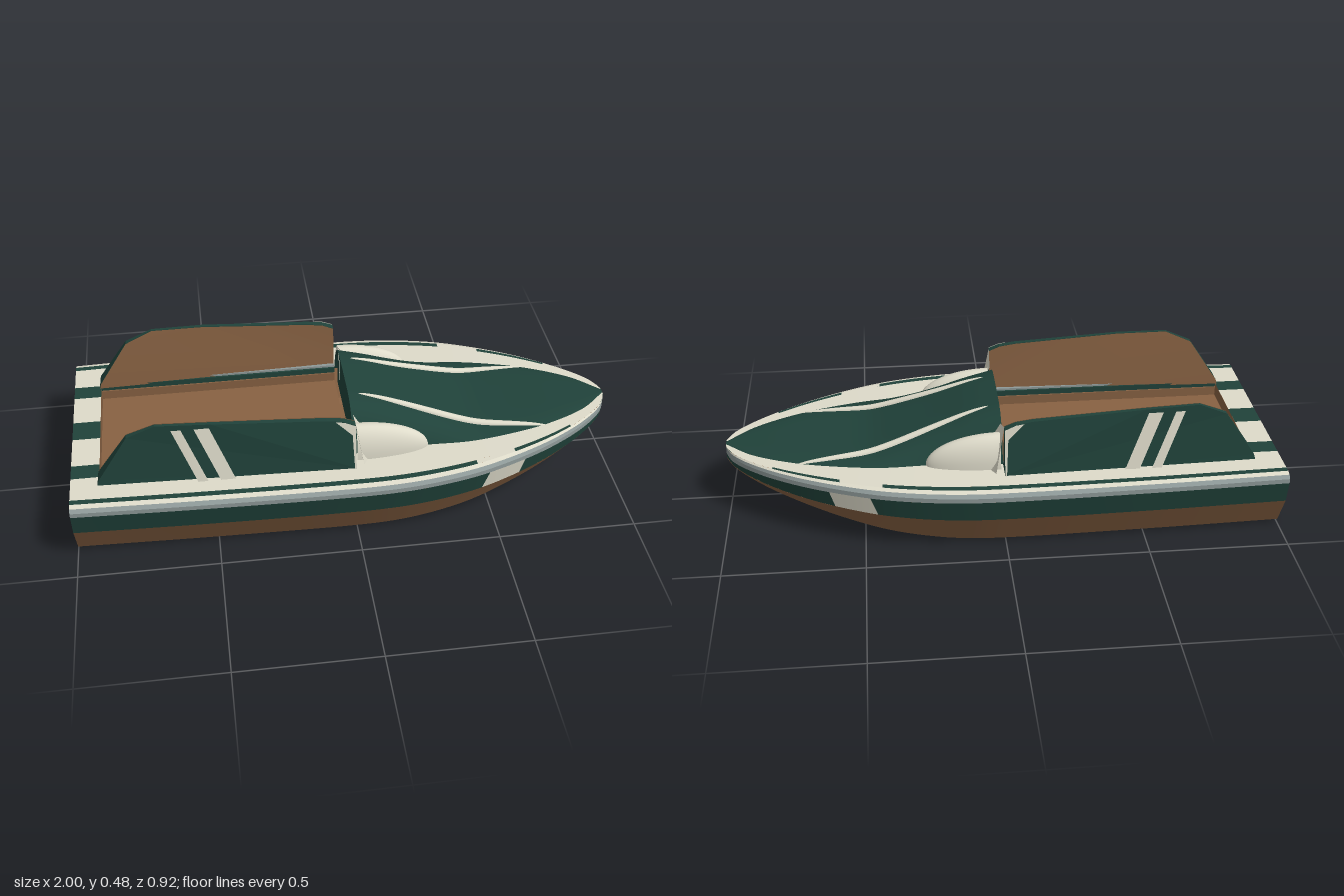
import * as THREE from 'three';

const paint = (name, color) => {
  const m = new THREE.MeshStandardMaterial({ color, side: THREE.DoubleSide });
  m.name = name;
  return m;
};

// Smooth curve y(x) through a few points (cubic Hermite)
function curve(...p) {
  const slope = i => {
    const a = p[Math.max(i - 1, 0)], b = p[Math.min(i + 1, p.length - 1)];
    return (b[1] - a[1]) / (b[0] - a[0]);
  };
  return x => {
    let i = 0;
    while (i < p.length - 2 && x > p[i + 1][0]) i++;
    const [x0, y0] = p[i], [x1, y1] = p[i + 1], d = x1 - x0;
    const t = Math.min(1, Math.max(0, (x - x0) / d)), t2 = t * t, t3 = t2 * t;
    return y0 * (2 * t3 - 3 * t2 + 1) + y1 * (3 * t2 - 2 * t3)
      + d * (slope(i) * (t3 - 2 * t2 + t) + slope(i + 1) * (t3 - t2));
  };
}

// Hull lines along x
const width = curve([-1, .435], [-.5, .453], [0, .462], [.2, .452], [.4, .415], [.55, .363],
  [.7, .293], [.83, .213], [.92, .14], [.97, .085], [.99, .047], [1, .02]);
const keel = curve([-1, 0], [-.3, 0], [.05, .001], [.25, .014], [.46, .045], [.8, .125], [1, .18]);
const chine = curve([-1, .133], [0, .135], [.3, .138], [.6, .15], [.85, .17], [1, .188]);
const deck = curve([-1, .25], [.3, .25], [.6, .246], [1, .235]);
const cowlWidth = curve([0, .265], [.25, .25], [.43, .25], [.6, .22], [.75, .175], [.9, .1], [1, .01]);
const cowlRise = curve([0, .165], [.1, .137], [.2, .102], [.3, .068], [.4, .036], [.48, .017],
  [.6, .011], [.8, .009], [1, .002]);
const ribLine = curve([.03, .11], [.2, .124], [.4, .152], [.55, .17], [.74, .187]);
const cowlY = (x, z) => deck(x) + cowlRise(x) * (1 - Math.min(1, Math.abs(z) / cowlWidth(x)) ** 5.5);

export function createModel() {
  const green = paint('dark green', 0x20423a);
  const cream = paint('cream', 0xdedbca);
  const brown = paint('brown', 0x886243);
  const grey = paint('rail grey', 0x8f9a99);
  const model = new THREE.Group();
  model.name = 'speedboat';

  const add = (name, geometry, material) => {
    const mesh = new THREE.Mesh(geometry, material);
    mesh.name = name;
    model.add(mesh);
    return mesh;
  };

  // Surface from a rule f(u, v) -> [x, y, z]
  function surface(name, material, nu, nv, f) {
    const pos = [], idx = [];
    for (let i = 0; i <= nu; i++) for (let j = 0; j <= nv; j++) pos.push(...f(i / nu, j / nv));
    for (let i = 0; i < nu; i++) for (let j = 0; j < nv; j++) {
      const a = i * (nv + 1) + j, b = a + nv + 1;
      idx.push(a, a + 1, b, b, a + 1, b + 1);
    }
    const g = new THREE.BufferGeometry();
    g.setAttribute('position', new THREE.Float32BufferAttribute(pos, 3));
    g.setIndex(idx);
    g.computeVertexNormals();
    return add(name, g, material);
  }

  // Lengthwise strip between two section points, each x -> [y, z]
  function strake(name, material, x0, x1, from, to, side, lean = 0) {
    const n = Math.max(4, Math.ceil((x1 - x0) * 32));
    surface(name, material, n, 1, (u, v) => {
      const t = x1 > .95 ? 1 - (1 - u) ** 1.7 : u;
      const x = x0 + (x1 - x0) * t;
      const xs = x + lean * v * (1 - Math.abs(x));
      const [y, z] = (v ? to : from)(xs);
      return [xs, y, z * side];
    });
  }

  function box(name, material, x0, x1, y0, y1, z0, z1) {
    const g = new THREE.BoxGeometry(x1 - x0, y1 - y0, Math.abs(z1 - z0));
    g.translate((x0 + x1) / 2, (y0 + y1) / 2, (z0 + z1) / 2);
    return add(name, g, material);
  }

  const outline = pts => new THREE.Shape(pts.map(p => new THREE.Vector2(...p)));
  // Flat plate across the boat from [z, y] points
  function crossPlate(name, material, x, pts) {
    const g = new THREE.ShapeGeometry(outline(pts));
    g.rotateY(-Math.PI / 2);
    g.translate(x, 0, 0);
    add(name, g, material);
  }

  const centre = x => [keel(x), 0];
  const bottomEdge = x => [keel(x) + .002, width(x) * .76];
  const bilge = x => [keel(x) + .014 * (1 - Math.max(0, x)), width(x) * .83];
  const paintLine = x => [chine(x), width(x) * .965];
  const railLow = x => [deck(x) - .033, width(x)];
  const railMid = x => [deck(x) - .016, width(x)];
  const railTop = x => [deck(x) - .005, width(x) * .972];
  const onDeck = k => x => [deck(x), width(x) * k];
  const deckInner = x => [deck(x), x < 0 ? .27 : cowlWidth(x)];

  for (const s of [1, -1]) {
    // Hull
    strake('hullBottom', brown, -1, 1, centre, bottomEdge, s);
    strake('hullBilge', brown, -1, 1, bottomEdge, bilge, s);
    strake('hullSide', brown, -1, 1, bilge, paintLine, s);
    strake('upperSideAft', green, -1, .45, paintLine, railLow, s, .045);
    strake('upperSidePatch', cream, .45, .6, paintLine, railLow, s, .045);
    strake('upperSideBow', green, .6, 1, paintLine, railLow, s, .045);
    strake('rubRail', grey, -1, 1, railLow, railMid, s);
    strake('rubRailTop', grey, -1, 1, railMid, railTop, s);

    // Side deck with its broken pinstripe
    strake('deckEdge', cream, -1, 1, railTop, onDeck(.93), s);
    [[-1, .43, green], [.43, .58, cream], [.58, .82, green], [.82, 1, cream]].forEach(([a, b, m]) =>
      strake('deckPinstripe', m, a, b, onDeck(.93), onDeck(.88), s));
    strake('sideDeck', cream, -1, 0, onDeck(.88), deckInner, s);
    strake('foreDeck', cream, 0, 1, onDeck(.88), deckInner, s);

    // Stern deck and transom stripes
    [[0, .05, green], [.05, .2, cream], [.2, .27, green]].forEach(([a, b, m]) =>
      strake('sternDeck', m, -1, -.9, () => [.25, a], () => [.25, b], s));
    [[0, .05, green], [.05, .2, cream]].forEach(([a, b, m]) =>
      crossPlate('transomStripe', m, -1, [[a * s, 0], [b * s, 0], [b * s, .25], [a * s, .25]]));
    const rim = [bottomEdge, bilge, paintLine, railLow, railMid, railTop, onDeck(.93)].map(f => f(-1));
    crossPlate('transomSide', green, -1,
      [[.2, 0], ...rim.map(([y, z]) => [z, y]), [.2, .25]].map(([z, y]) => [z * s, y]));

    // Cockpit side walls
    box('cockpitWall', brown, -.9, 0, .2, .235, s * .255, s * .285);
    box('cockpitTrim', green, -.9, 0, .235, .256, s * .26, s * .29);
    box('cockpitRail', grey, -.9, 0, .256, .264, s * .267, s * .28);

    // Tall side panel, leaning inward and toed in towards the stern
    const profile = [[-.905, .25], [-.9, .268], [-.79, .432], [-.69, .475], [-.5, .471],
      [-.1, .446], [-.04, .437], [0, .42], [0, .25]];
    const up = y => (y - .25) / .22;
    const toe = x => .03 * Math.min(1, Math.max(0, (-.6 - x) / .3));
    const outer = (x, y) => .346 - .037 * up(y) - toe(x);
    const inner = (x, y) => .282 + .013 * up(y) - toe(x) * .8;
    const bend = (g, rule) => {
      const p = g.attributes.position;
      for (let i = 0; i < p.count; i++) p.setZ(i, s * rule(p.getX(i), p.getY(i), p.getZ(i)));
      g.computeVertexNormals();
      return g;
    };
    add('sidePanel', bend(new THREE.ExtrudeGeometry(outline(profile), { depth: 1, bevelEnabled: false }),
      (x, y, z) => z > .5 ? outer(x, y) : inner(x, y)), green);
    add('sidePanelLining', bend(new THREE.ShapeGeometry(outline(profile)),
      (x, y) => inner(x, y) - .003), brown);
    const decal = (name, pts) => add(name,
      bend(new THREE.ShapeGeometry(outline(pts)), (x, y) => outer(x, y) + .004), cream);
    [[-.637, .035], [-.558, .052]].forEach(([x, w]) => decal('panelStripe',
      [[x, .46], [x + w, .46], [x + w + .08, .255], [x + .08, .255]]));
    decal('panelTip', [[-.07, .441], [-.04, .437], [0, .42], [0, .25], [-.006, .25], [-.012, .385]]);

    // Cream fairing joining panel and cowl
    const fairing = [[0, .424, .305], [.005, .388, .215], [.09, .25, .23], [.03, .25, .33]];
    surface('fairing', cream, 1, 1, (u, v) => {
      const [x, y, z] = fairing[u ? 1 + v : 3 * v];
      return [x, y, z * s];
    });

    // Rounded pod beside the cowl
    surface('sidePod', cream, 16, 14, (u, v) => {
      const r = Math.cos(u * Math.PI / 2), a = v * Math.PI;
      return [.01 + .265 * Math.sin(u * Math.PI / 2), .249 + .118 * r * Math.sin(a),
        s * (.245 + .058 * r * Math.cos(a))];
    });

    // Raised rib on the cowl
    surface('cowlRib', cream, 36, 8, (u, v) => {
      const x = .03 + .71 * u, z = ribLine(x), r = .015 * Math.sqrt(Math.sin(Math.PI * u) + 1e-6);
      const a = v * Math.PI, zz = z + r * Math.cos(a);
      return [x, cowlY(x, zz) - .002 + r * Math.sin(a), s * zz];
    });
  }

  // Cockpit floor and ends
  box('cockpitFloor', brown, -.9, 0, .19, .2, -.27, .27);
  box('cockpitRear', brown, -.905, -.9, .19, .249, -.27, .27);
  const arch = [];
  for (let i = 0; i <= 24; i++) {
    const z = (i / 12 - 1) * .262;
    arch.push([z, cowlY(.015, z) - .006]);
  }
  crossPlate('bulkhead', green, .012, [...arch, [.262, .19], [-.262, .19]]);

  // Cowl flowing into the foredeck
  surface('cowl', green, 56, 36, (u, v) => {
    const x = u, k = Math.sin((v - .5) * Math.PI), z = k * cowlWidth(x);
    return [x, cowlY(x, z), z];
  });

  // Stem cap at the bow
  box('stemCap', green, .988, 1, .181, .235, -.021, .021);

  return model;
}
